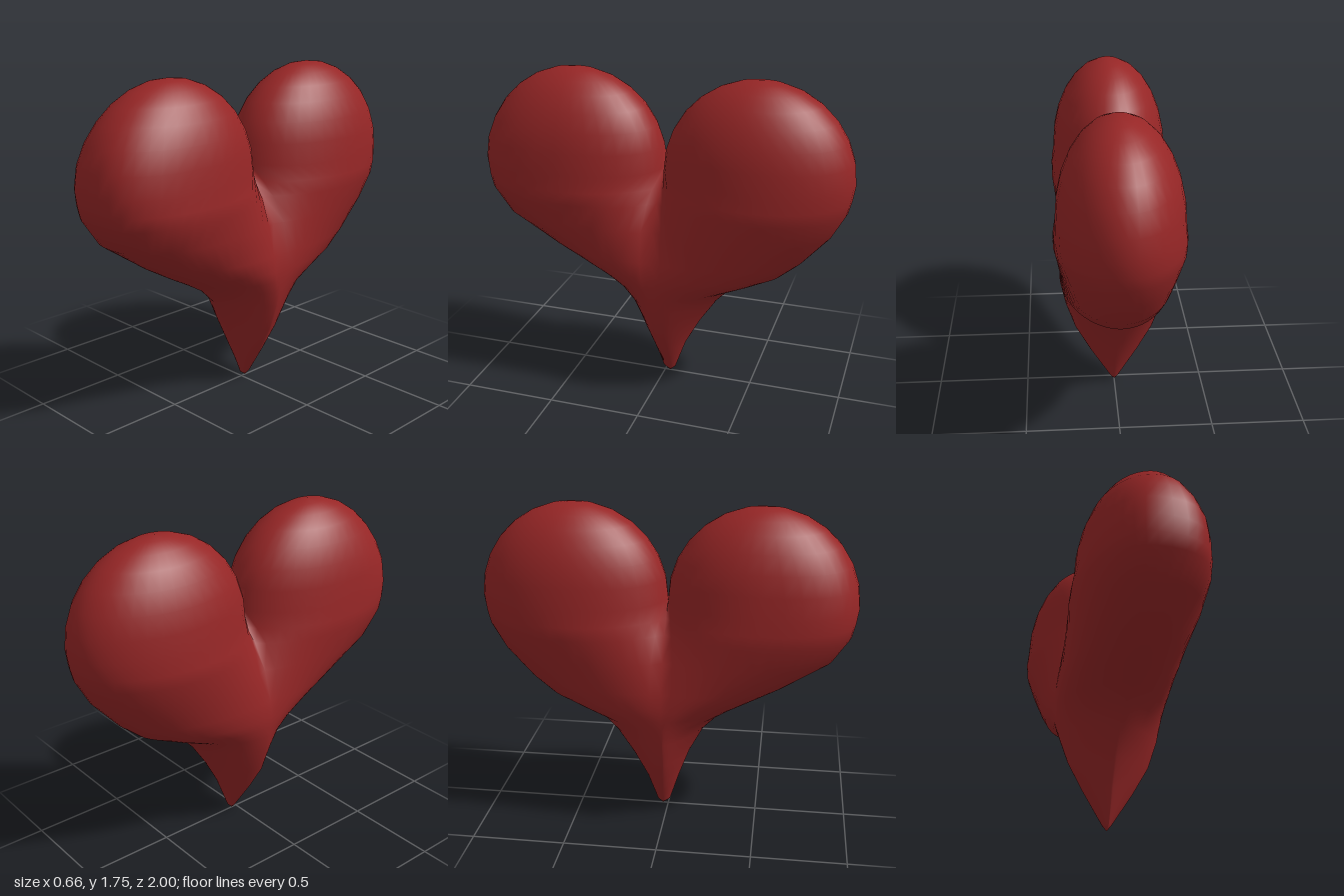
import * as THREE from 'three';
import { mergeVertices } from 'three/addons/utils/BufferGeometryUtils.js';

const { smoothstep } = THREE.MathUtils;
const SEGMENTS = 36;
const LOBE_Y = 1.245; // height where the lobes are widest and the cleft begins
const LOBE_R = 0.5;

// Silhouette below the cleft: [height, reach to front, reach to back, half thickness]
const STEM = [
  [0, -0.03, 0.03, 0],
  [0.03, 0.01, 0.06, 0.025],
  [0.2, 0.065, 0.12, 0.135],
  [0.35, 0.12, 0.2, 0.22],
  [0.5, 0.2, 0.3, 0.27],
  [0.59, 0.29, 0.385, 0.288],
  [0.65, 0.39, 0.53, 0.295],
  [0.71, 0.5, 0.655, 0.3],
  [0.8, 0.655, 0.76, 0.3],
  [0.96, 0.885, 0.9, 0.31],
  [1.09, 0.97, 0.97, 0.328],
  [1.16, 0.987, 0.987, 0.327],
];

// All slices: the stem, then a round crown above the cleft
function makeSlices() {
  const slices = STEM.map(([y, front, back, width]) => ({ y, front, back, width, inner: 0 }));
  const steps = 7;
  for (let i = 0; i <= steps; i++) {
    const a = (i / steps) * Math.PI / 2;
    const r = LOBE_R * Math.cos(a);
    slices.push({
      y: LOBE_Y + LOBE_R * Math.sin(a),
      front: LOBE_R + r, back: LOBE_R + r, inner: LOBE_R - r,
      width: 0.315 * Math.cos(a),
    });
  }
  return slices;
}

// Signed power: pinches (above 1) or squares (below 1) an ellipse
const bend = (v, p) => Math.sign(v) * Math.pow(Math.abs(v), p);

// One lobe: half ellipses low down, closing to full loops at the cleft
function addLobe(side, slices, positions, indices) {
  const base = positions.length / 3;
  for (const { y, front, back, width, inner } of slices) {
    const tipShift = -0.03 * (1 - smoothstep(y, 0, 0.4));
    const start = inner + side * tipShift;
    const closing = smoothstep(y, 0.55, LOBE_Y);
    const reach = ((side > 0 ? front : back) - start) / (1 + closing);
    const centre = start + closing * reach;
    const limit = Math.acos(-closing);
    const power = side > 0
      ? 1.5 - 0.7 * smoothstep(y, 0.45, 1) + 0.2 * smoothstep(y, LOBE_Y, 1.7)
      : 1.25 - 0.25 * smoothstep(y, 0.45, 0.8);
    for (let i = 0; i <= SEGMENTS; i++) {
      const a = limit * (2 * i / SEGMENTS - 1);
      const p = Math.cos(a) > 0 ? power : 1;
      positions.push(width * bend(Math.sin(a), p), y, side * (centre + reach * bend(Math.cos(a), p)));
    }
  }
  const row = SEGMENTS + 1;
  for (let j = 0; j < slices.length - 1; j++) {
    for (let i = 0; i < SEGMENTS; i++) {
      const a = base + j * row + i, b = a + 1, c = a + row, d = c + 1;
      if (side > 0) indices.push(a, b, d, a, d, c);
      else indices.push(a, d, b, a, c, d);
    }
  }
}

export function createModel() {
  const group = new THREE.Group();
  group.name = 'heart';

  // Both lobes are welded along the crease into one smooth skin
  const slices = makeSlices();
  const positions = [], indices = [];
  addLobe(1, slices, positions, indices);
  addLobe(-1, slices, positions, indices);
  const skin = new THREE.BufferGeometry();
  skin.setAttribute('position', new THREE.Float32BufferAttribute(positions, 3));
  skin.setIndex(indices);
  const geometry = mergeVertices(skin, 1e-4);
  geometry.computeVertexNormals();

  const body = new THREE.Mesh(geometry, new THREE.MeshStandardMaterial({ color: 0x962626 }));
  body.name = 'heartBody';
  group.add(body);
  return group;
}
